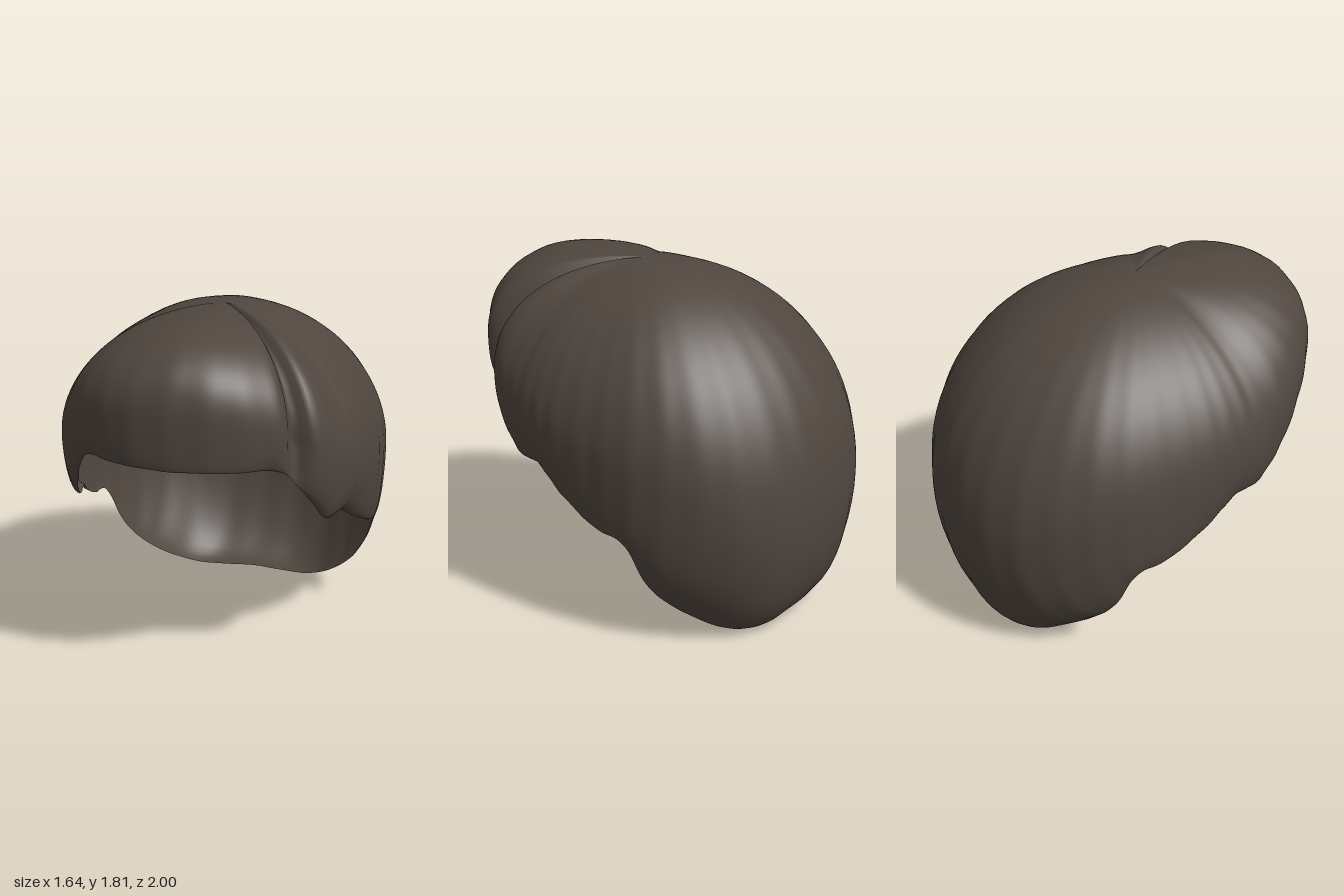
import * as THREE from 'three';

const hairMaterial = new THREE.MeshStandardMaterial({ color: 0x50463f, side: THREE.DoubleSide });
hairMaterial.name = 'dark brown hair';

const CROWN = new THREE.Vector3(0.03, 1.79, 0.1);

// Widest point and hem point of each strand line, from forehead round to nape
const LINES = [
  [[0, 1.4, 0.997], [0, 1.19, 0.98]],
  [[0.27, 1.4, 0.95], [0.27, 1.19, 0.93]],
  [[0.49, 1.34, 0.81], [0.48, 1.16, 0.77]],
  [[0.65, 1.22, 0.63], [0.59, 0.97, 0.61]],
  [[0.73, 1.13, 0.45], [0.64, 0.83, 0.47]],
  [[0.78, 1.09, 0.3], [0.67, 0.82, 0.32]],
  [[0.81, 1.05, 0.13], [0.73, 0.72, 0.14]],
  [[0.82, 1.0, -0.1], [0.77, 0.61, -0.1]],
  [[0.81, 0.96, -0.34], [0.77, 0.57, -0.26]],
  [[0.73, 0.88, -0.58], [0.68, 0.32, -0.35]],
  [[0.56, 0.75, -0.81], [0.55, 0.16, -0.45]],
  [[0.3, 0.69, -0.955], [0.33, 0.01, -0.63]],
  [[0, 0.69, -0.997], [0, 0, -0.68]],
];

const UPPER_ROWS = 26, LOWER_ROWS = 12, STEPS = 10, LOBES = 36;

// Point on one strand line: a superellipse down to the widest point, then a tuck in to the hem
function strandPoint([wide, hem], index, row) {
  const [wx, wy, wz] = wide, [hx, hy, hz] = hem;
  if (row <= UPPER_ROWS) {
    const a = (row / UPPER_ROWS) * Math.PI / 2;
    const frontFullness = Math.max(0, 1 - index / 4);
    const backFullness = Math.max(0, (index - 8) / 4);
    const n = 1.93 + 0.7 * frontFullness + 0.22 * backFullness;
    const s = Math.sin(a), c = Math.max(0, Math.cos(a));
    const r = Math.pow(s ** n + c ** n, -1 / n);
    return new THREE.Vector3(
      CROWN.x + (wx - CROWN.x) * s * r,
      wy + (CROWN.y - wy) * c * r + 0.045 * frontFullness * Math.sin(2 * a),
      CROWN.z + (wz - CROWN.z) * s * r);
  }
  const b = ((row - UPPER_ROWS) / LOWER_ROWS) * Math.PI / 2;
  const tuck = 1 - Math.cos(b);
  return new THREE.Vector3(wx + (hx - wx) * tuck, wy + (hy - wy) * Math.sin(b), wz + (hz - wz) * tuck);
}

function buildHair() {
  // Mirror the strand lines to close the ring
  const half = LINES.map((line, index) => ({ line, index }));
  const mirrored = half.slice(1, -1).reverse().map(({ line, index }) =>
    ({ line: line.map(([x, y, z]) => [-x, y, z]), index }));
  const strands = [...half, ...mirrored];

  const around = strands.length * STEPS, rows = UPPER_ROWS + LOWER_ROWS;
  const positions = CROWN.toArray(), indices = [];
  for (let j = 1; j <= rows; j++) {
    const ring = new THREE.CatmullRomCurve3(strands.map(s => strandPoint(s.line, s.index, j)), true);
    const grow = Math.min(1, j / (UPPER_ROWS * 0.7));
    const hemFade = 1 - 0.75 * Math.max(0, (j - UPPER_ROWS) / LOWER_ROWS);
    const crownDip = 0.07 * Math.sin(Math.PI * Math.min(1, j / UPPER_ROWS));
    for (let i = 0; i < around; i++) {
      const p = ring.getPoint(i / around);
      // Side parting groove, cut inward and down, and faint strand ripples
      const d = (i / STEPS - 2.45) / 0.24;
      const groove = Math.exp(-d * d);
      const ripple = 0.0025 * Math.cos((i / around) * Math.PI * 2 * LOBES);
      const scale = 1 + grow * (ripple - 0.13 * hemFade * groove);
      positions.push(
        CROWN.x + (p.x - CROWN.x) * scale,
        p.y - crownDip * groove,
        CROWN.z + (p.z - CROWN.z) * scale);
    }
  }

  // Crown fan, then quads between successive rings
  const at = (j, i) => 1 + (j - 1) * around + (i % around);
  for (let i = 0; i < around; i++) {
    indices.push(0, at(1, i), at(1, i + 1));
    for (let j = 1; j < rows; j++) {
      const a = at(j, i), b = at(j + 1, i), c = at(j + 1, i + 1), e = at(j, i + 1);
      indices.push(a, b, c, a, c, e);
    }
  }
  const geometry = new THREE.BufferGeometry();
  geometry.setAttribute('position', new THREE.Float32BufferAttribute(positions, 3));
  geometry.setIndex(indices);
  geometry.computeVertexNormals();
  return geometry;
}

export function createModel() {
  const group = new THREE.Group();
  group.name = 'hairpiece';
  const hair = new THREE.Mesh(buildHair(), hairMaterial);
  hair.name = 'hairShell';
  group.add(hair);
  return group;
}
